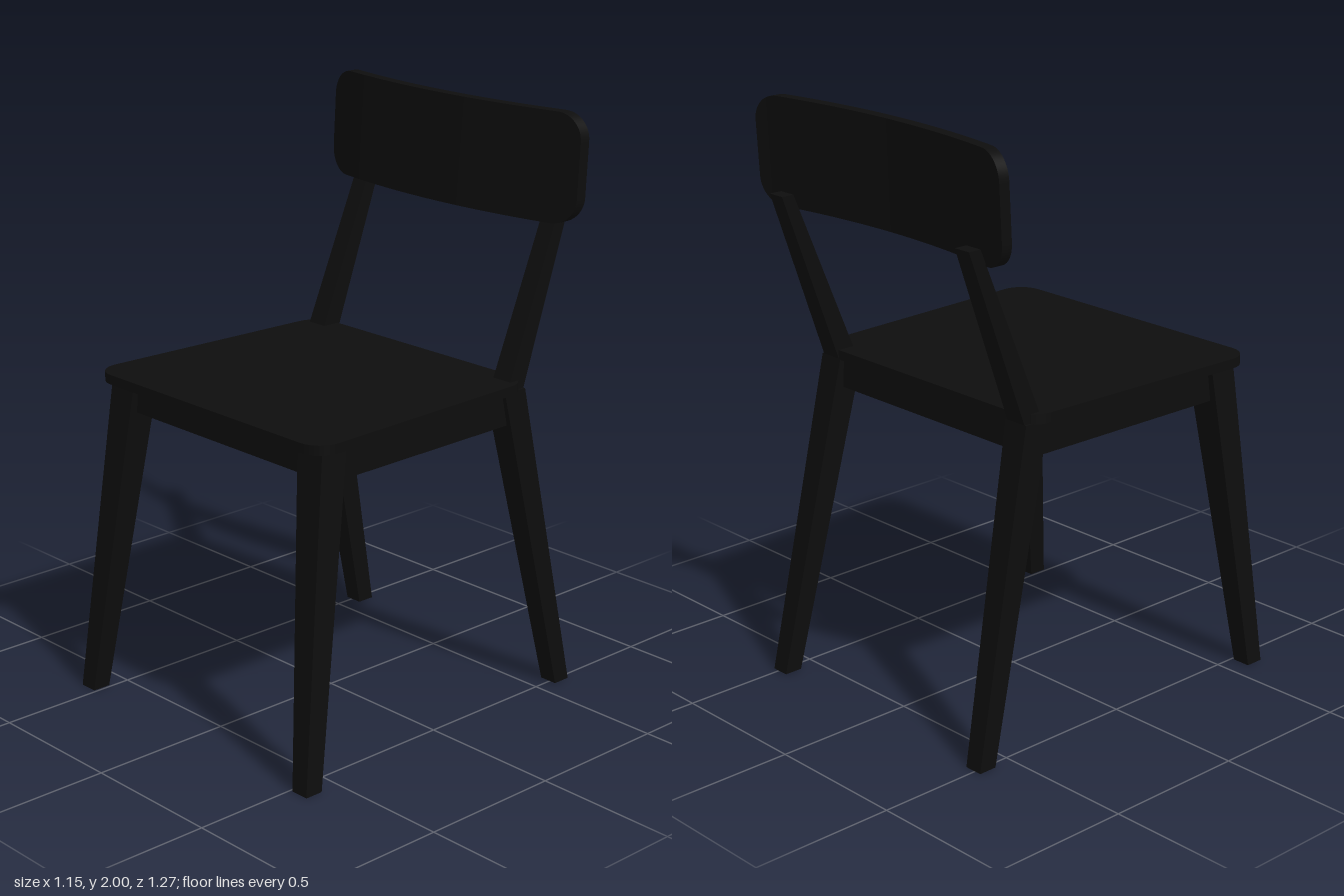
import * as THREE from 'three';

const black = new THREE.MeshStandardMaterial({ color: 0x0d0d0d });
black.name = 'black paint';

function add(group, geometry, name) {
  const mesh = new THREE.Mesh(geometry, black);
  mesh.name = name;
  group.add(mesh);
  return mesh;
}

// Four-sided bar between two level rectangles, each given as [x0, x1, z0, z1, y]
function bar(bottom, top) {
  const g = new THREE.BoxGeometry(1, 1, 1).toNonIndexed();
  const p = g.attributes.position;
  for (let i = 0; i < p.count; i++) {
    const [x0, x1, z0, z1, y] = p.getY(i) < 0 ? bottom : top;
    p.setXYZ(i, p.getX(i) < 0 ? x0 : x1, y, p.getZ(i) < 0 ? z0 : z1);
  }
  g.computeVertexNormals();
  return g;
}

// Rectangle mirrored to the other side of the chair
const side = ([x0, x1, z0, z1, y], s) => (s > 0 ? [x0, x1, z0, z1, y] : [-x1, -x0, z0, z1, y]);

// Closed outline with rounded corners
function roundedOutline(points, r) {
  const pts = points.map(([x, y]) => new THREE.Vector2(x, y));
  const shape = new THREE.Shape();
  pts.forEach((c, i) => {
    const prev = pts[(i + pts.length - 1) % pts.length];
    const next = pts[(i + 1) % pts.length];
    const a = c.clone().add(prev.clone().sub(c).setLength(r));
    const b = c.clone().add(next.clone().sub(c).setLength(r));
    if (i === 0) shape.moveTo(a.x, a.y);
    else shape.lineTo(a.x, a.y);
    const k = 0.55;
    const ca = a.clone().lerp(c, k), cb = b.clone().lerp(c, k);
    shape.bezierCurveTo(ca.x, ca.y, cb.x, cb.y, b.x, b.y);
  });
  shape.closePath();
  return shape;
}

// Curved, slightly reclined board with rounded corners
function backrestGeometry() {
  const W = 0.575, H = 0.1825, R = 0.09, T = 0.04;
  const g = new THREE.BoxGeometry(2, 2, T, 64, 1, 1);
  const p = g.attributes.position;
  for (let i = 0; i < p.count; i++) {
    const x = W * Math.sin(p.getX(i) * Math.PI / 2);
    const over = Math.max(0, Math.abs(x) - (W - R));
    const half = H - R + Math.sqrt(Math.max(0, R * R - over * over));
    const y = p.getY(i) * half;
    const bend = -0.065 * (x / W) ** 2;
    const tilt = -0.055 * y;
    p.setXYZ(i, x, 1.8175 + y, -0.505 + bend + tilt + p.getZ(i));
  }
  g.computeVertexNormals();
  return g;
}

export function createModel() {
  const chair = new THREE.Group();
  chair.name = 'chair';

  // Seat: thin tapered board, narrower at the back
  const outline = roundedOutline([[-0.552, -0.56], [0.552, -0.56], [0.513, 0.41], [-0.513, 0.41]], 0.085);
  const seat = new THREE.ExtrudeGeometry(outline, { depth: 0.033, bevelEnabled: false, curveSegments: 8 });
  seat.rotateX(-Math.PI / 2).translate(0, 1.097, 0);
  add(chair, seat, 'seat');

  // Legs, back posts and side rails
  for (const s of [1, -1]) {
    const n = s > 0 ? 'left' : 'right';
    add(chair, bar(side([0.51, 0.575, 0.572, 0.637, 0], s), side([0.403, 0.515, 0.41, 0.513, 1.1], s)), n + 'FrontLeg');
    add(chair, bar(side([0.46, 0.525, -0.635, -0.57, 0], s), side([0.402, 0.495, -0.41, -0.315, 1.1], s)), n + 'BackLeg');
    add(chair, bar(side([0.41, 0.487, -0.41, -0.335, 1.1], s), side([0.412, 0.475, -0.624, -0.578, 1.69], s)), n + 'BackPost');

    const rail = add(chair, bar([-0.025, 0.025, -0.37, 0.46, 0.982], [-0.025, 0.025, -0.37, 0.46, 1.1]), n + 'SideRail');
    rail.position.x = s * 0.462;
    rail.rotation.y = s * 0.02;
  }

  // Front and back rails
  add(chair, bar([-0.43, 0.43, 0.445, 0.495, 0.998], [-0.43, 0.43, 0.445, 0.495, 1.1]), 'frontRail');
  add(chair, bar([-0.43, 0.43, -0.395, -0.345, 0.998], [-0.43, 0.43, -0.395, -0.345, 1.1]), 'backRail');

  add(chair, backrestGeometry(), 'backrest');
  return chair;
}
